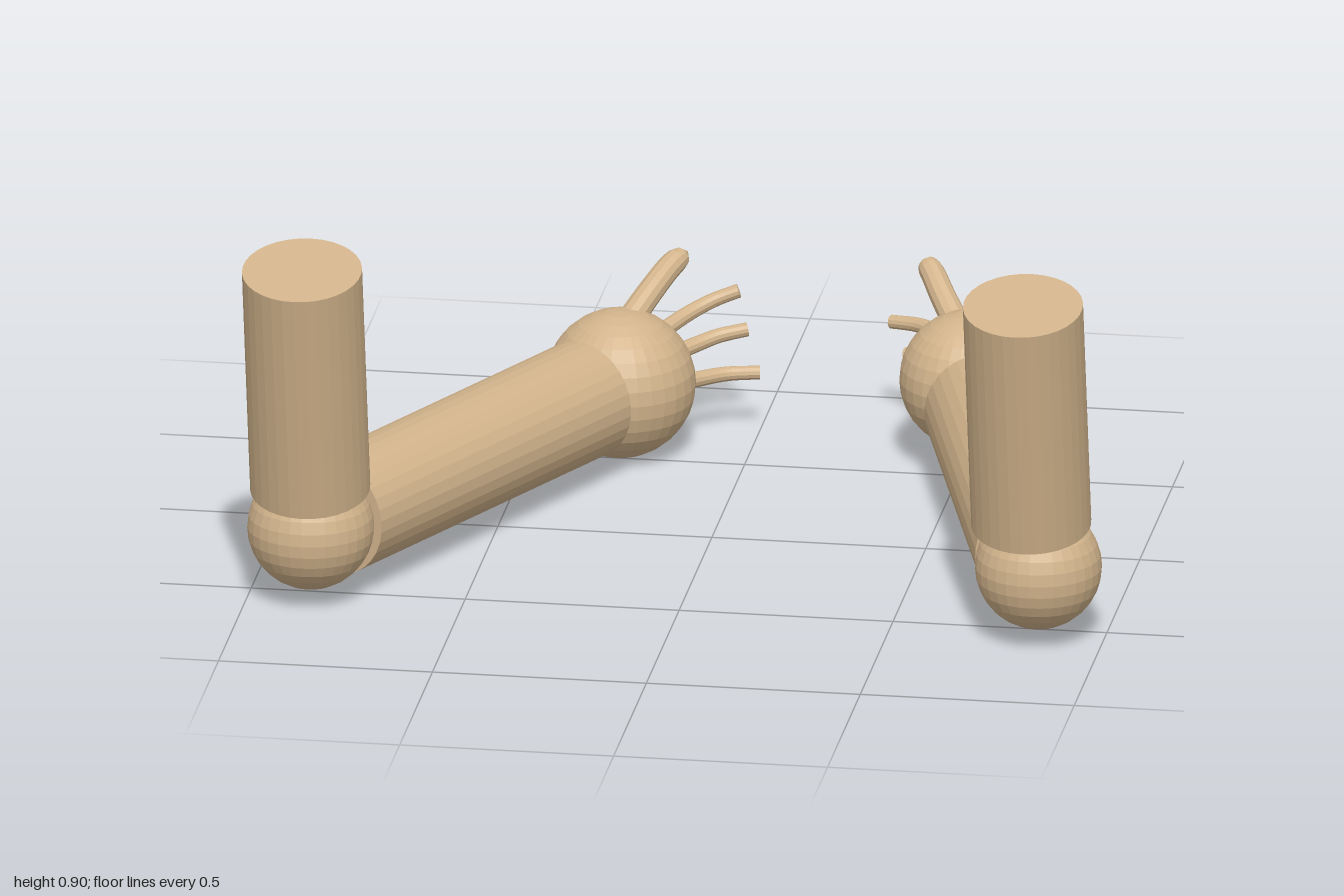
import * as THREE from 'three';

const V = (p) => new THREE.Vector3(...p);
const skin = new THREE.MeshStandardMaterial({ color: 0xd2b48c, flatShading: true });

function add(group, name, geometry) {
  const mesh = new THREE.Mesh(geometry, skin);
  mesh.name = name;
  group.add(mesh);
  return mesh;
}

// Capped cylinder running between two points
function limb(group, name, from, to, radius) {
  const a = V(from), b = V(to);
  const mesh = add(group, name, new THREE.CylinderGeometry(radius, radius, a.distanceTo(b), 32));
  mesh.position.copy(a).add(b).multiplyScalar(0.5);
  mesh.quaternion.setFromUnitVectors(new THREE.Vector3(0, 1, 0), b.sub(a).normalize());
}

function ball(group, name, center, radius) {
  add(group, name, new THREE.SphereGeometry(radius, 32, 16)).position.copy(V(center));
}

// Curved tube, tapered along its length and closed at the tip
function digit(group, name, points, baseRadius, tipRadius, roundTip) {
  const rings = 14, sides = 12;
  const curve = new THREE.CatmullRomCurve3(points.map(V));
  const geometry = new THREE.TubeGeometry(curve, rings, 1, sides);
  const pos = geometry.attributes.position;
  const p = new THREE.Vector3();
  for (let i = 0; i <= rings; i++) {
    const t = i / rings;
    const center = curve.getPointAt(t);
    let r = THREE.MathUtils.lerp(baseRadius, tipRadius, t);
    if (roundTip && t > 0.8) r *= Math.sqrt(1 - ((t - 0.8) / 0.2) ** 2);
    // A flat tip folds its last ring into the middle of a closing disc
    if (!roundTip && i === rings) r = 0;
    const ringCenter = !roundTip && i === rings - 1 ? curve.getPointAt(1) : center;
    for (let j = 0; j <= sides; j++) {
      const k = i * (sides + 1) + j;
      p.fromBufferAttribute(pos, k).sub(center).multiplyScalar(r).add(ringCenter);
      pos.setXYZ(k, p.x, p.y, p.z);
    }
  }
  add(group, name, geometry);
}

const arms = [
  {
    name: 'rightArm',
    shoulder: [-0.848, 0.87, 0.718], upperEnd: [-0.848, 0.292, 0.592],
    elbow: [-0.853, 0.182, 0.552],
    foreStart: [-0.813, 0.18, 0.472], foreEnd: [-0.363, 0.18, -0.397],
    hand: [-0.295, 0.178, -0.53], handRadius: 0.175,
    thumb: [[-0.285, 0.31, -0.55], [-0.235, 0.375, -0.64], [-0.2, 0.412, -0.705], [-0.17, 0.43, -0.745]],
    fingers: [
      [[-0.22, 0.265, -0.64], [-0.16, 0.29, -0.72], [-0.11, 0.31, -0.757], [-0.055, 0.33, -0.772]],
      [[-0.21, 0.2, -0.65], [-0.15, 0.21, -0.72], [-0.1, 0.222, -0.757], [-0.035, 0.234, -0.778]],
      [[-0.19, 0.148, -0.61], [-0.13, 0.143, -0.68], [-0.075, 0.143, -0.72], [0, 0.145, -0.735]],
    ],
  },
  {
    name: 'leftArm',
    shoulder: [0.835, 0.87, 0.704], upperEnd: [0.835, 0.292, 0.578],
    elbow: [0.85, 0.182, 0.565],
    foreStart: [0.828, 0.18, 0.478], foreEnd: [0.565, 0.18, -0.465],
    hand: [0.513, 0.213, -0.58], handRadius: 0.162,
    thumb: [[0.475, 0.315, -0.65], [0.43, 0.368, -0.71], [0.4, 0.405, -0.755], [0.375, 0.427, -0.785]],
    fingers: [
      [[0.45, 0.262, -0.69], [0.41, 0.262, -0.75], [0.36, 0.26, -0.795], [0.293, 0.254, -0.825]],
      [[0.47, 0.19, -0.71], [0.43, 0.185, -0.775], [0.385, 0.178, -0.82], [0.324, 0.167, -0.85]],
      [[0.475, 0.125, -0.69], [0.44, 0.107, -0.76], [0.4, 0.092, -0.805], [0.342, 0.077, -0.845]],
    ],
  },
];

export function createModel() {
  const model = new THREE.Group();
  model.name = 'arms';
  for (const a of arms) {
    const arm = new THREE.Group();
    arm.name = a.name;
    limb(arm, 'upperArm', a.upperEnd, a.shoulder, 0.139);
    ball(arm, 'elbow', a.elbow, 0.147);
    limb(arm, 'forearm', a.foreStart, a.foreEnd, 0.139);
    ball(arm, 'hand', a.hand, a.handRadius);
    digit(arm, 'thumb', a.thumb, 0.032, 0.028, true);
    a.fingers.forEach((f, i) => digit(arm, `finger${i + 1}`, f, 0.02, 0.016, false));
    model.add(arm);
  }
  return model;
}
